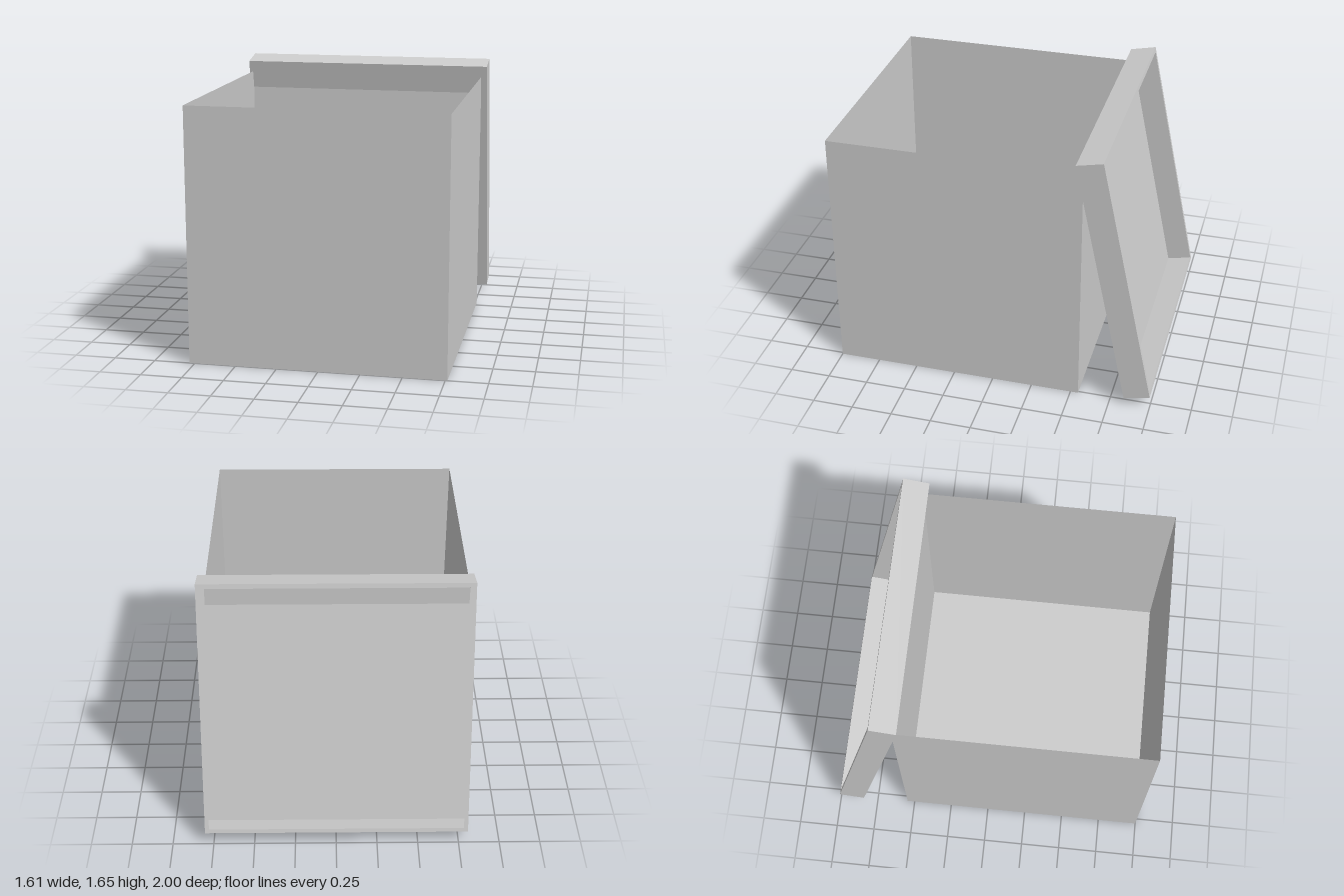
import * as THREE from 'three';

// Thin-walled box with one side left out (0 +x, 1 -x, 2 +y, 3 -y, 4 +z, 5 -z)
function openBox(w, h, d, openSide) {
  const geo = new THREE.BoxGeometry(w, h, d);
  const index = Array.from(geo.index.array);
  index.splice(openSide * 6, 6);
  geo.setIndex(index);
  geo.clearGroups();
  return geo;
}

export function createModel() {
  const model = new THREE.Group();
  model.name = 'openBoxWithLid';
  const grey = new THREE.MeshStandardMaterial({ color: 0xcccccc, side: THREE.DoubleSide });
  grey.name = 'plainGrey';

  const add = (parent, name, geo) => {
    const mesh = new THREE.Mesh(geo, grey);
    mesh.name = name;
    parent.add(mesh);
    return mesh;
  };

  // Box body, open at the top
  add(model, 'boxBody', openBox(1.545, 1.55, 1.548, 2)).position.set(-0.01, 0.775, 0.226);

  // Lid leaning on the back of the box, its hollow side facing backwards
  const size = 1.605, depth = 0.163, lip = 0.025;
  const lid = new THREE.Group();
  lid.name = 'lid';
  lid.position.set(-0.002, 0.8525, -0.755);
  lid.rotation.x = 0.207;
  model.add(lid);
  add(lid, 'lidShell', openBox(size, size, depth, 5));

  // Narrow lip around the lid opening
  const square = (r) => [[-r, -r], [r, -r], [r, r], [-r, r]].map(([x, y]) => new THREE.Vector2(x, y));
  const rim = new THREE.Shape(square(size / 2));
  rim.holes.push(new THREE.Path(square(size / 2 - lip).reverse()));
  const lidLip = add(lid, 'lidLip', new THREE.ShapeGeometry(rim));
  lidLip.rotation.y = Math.PI;
  lidLip.position.z = -depth / 2;

  return model;
}
